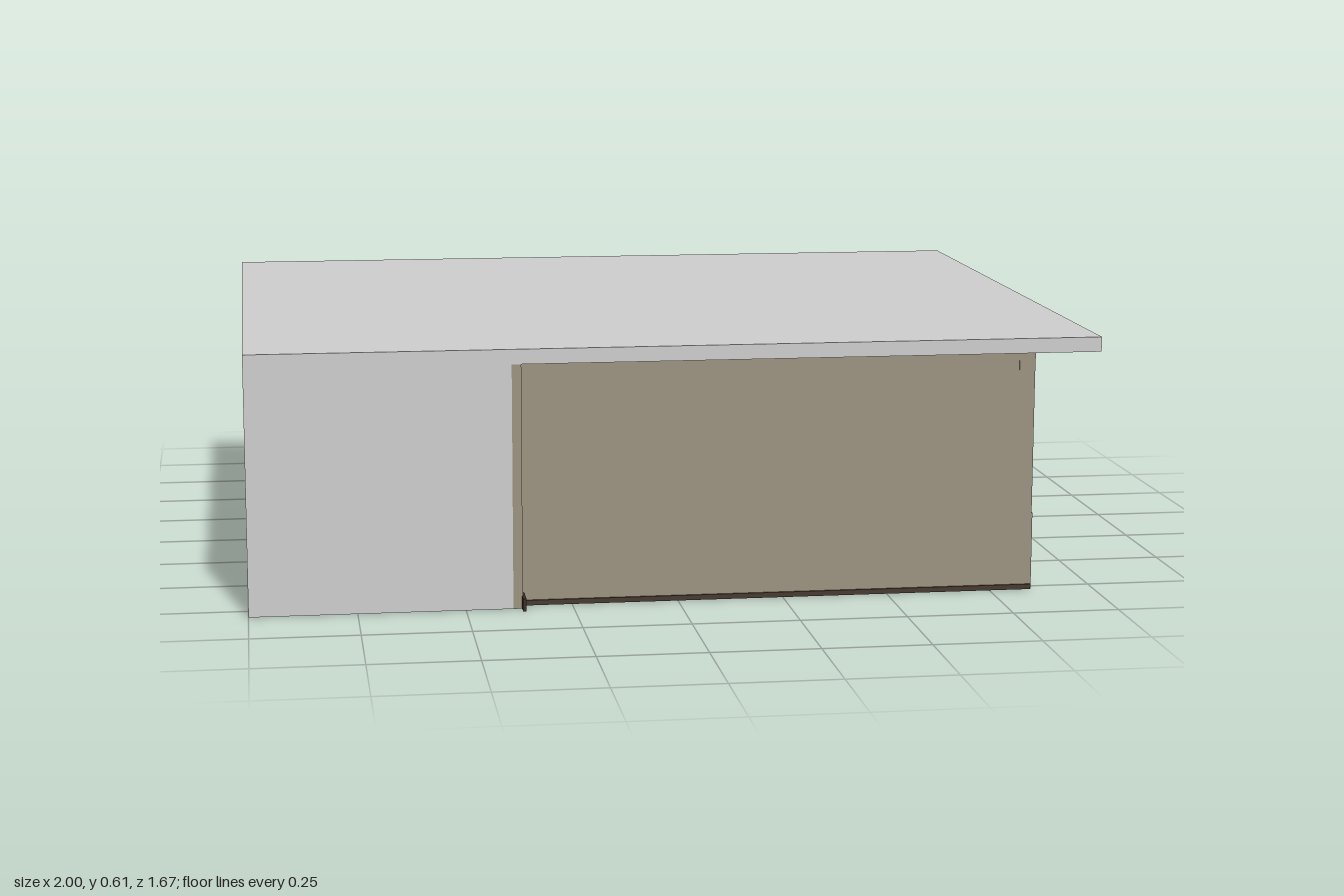
import * as THREE from 'three';

export function createModel() {
  const model = new THREE.Group();
  const mat = (name, color) => {
    const m = new THREE.MeshStandardMaterial({ color });
    m.name = name;
    return m;
  };
  const grey = mat('concrete grey', 0xcccccc);
  const tan = mat('wall tan', 0x9b917e);
  const brown = mat('floor brown', 0x47392f);
  const frameGrey = mat('frame grey', 0x85878a);
  const blindGrey = mat('blind dark grey', 0x606163);
  const white = mat('white', 0xe8e8e8);
  const wood = mat('dark wood', 0x3a2c22);

  // box given by its limits on each axis
  const box = (name, m, x0, x1, y0, y1, z0, z1, parent = model) => {
    const mesh = new THREE.Mesh(new THREE.BoxGeometry(x1 - x0, y1 - y0, z1 - z0), m);
    mesh.position.set((x0 + x1) / 2, (y0 + y1) / 2, (z0 + z1) / 2);
    mesh.name = name;
    parent.add(mesh);
    return mesh;
  };
  const group = (name) => {
    const g = new THREE.Group();
    g.name = name;
    model.add(g);
    return g;
  };

  // roof and floor
  box('roof', grey, -1, 1, 0.575, 0.61, -0.835, 0.808);
  box('classroomFloor', brown, -0.37, 0.85, 0, 0.012, -0.835, 0.78);
  box('corridorFloor', brown, -0.965, -0.37, 0, 0.012, -0.833, 0.775);

  // corridor side wall with two doorways, extruded along x
  const side = new THREE.Shape();
  [[-0.808, 0], [-0.28, 0], [-0.28, 0.52], [-0.06, 0.52], [-0.06, 0], [0.17, 0], [0.17, 0.52],
    [0.37, 0.52], [0.37, 0], [0.835, 0], [0.835, 0.575], [-0.808, 0.575]]
    .forEach(([u, v], i) => (i ? side.lineTo(u, v) : side.moveTo(u, v)));
  const sideWall = new THREE.Mesh(new THREE.ExtrudeGeometry(side, { depth: 0.035, bevelEnabled: false }), grey);
  sideWall.rotation.y = Math.PI / 2;
  sideWall.position.x = -1;
  sideWall.name = 'corridorSideWall';
  model.add(sideWall);

  // end walls
  box('corridorFrontWall', grey, -0.965, -0.39, 0, 0.575, 0.773, 0.808);
  box('corridorBackWall', tan, -0.965, -0.4, 0.012, 0.575, -0.83, -0.8);
  box('partitionWall', tan, -0.39, -0.368, 0, 0.575, -0.8, 0.808);
  box('doorStep', wood, -0.37, -0.362, 0, 0.03, 0.775, 0.835);
  box('frontWall', tan, -0.368, 0.85, 0.005, 0.575, 0.745, 0.775);
  box('backWall', tan, -0.4, 0.812, 0.012, 0.575, -0.815, -0.785);
  for (const x of [-0.4, -0.1]) box('backColumn', tan, x, x + 0.035, 0.012, 0.575, -0.832, -0.81);

  // thin conduits on the back wall
  for (const y of [0.445, 0.495]) box('backConduit', wood, -0.06, 0.69, y, y + 0.006, -0.819, -0.814);
  box('backConduit', wood, 0.487, 0.493, 0.17, 0.43, -0.818, -0.814);

  // window wall: sill, beam and posts
  box('sillWall', tan, 0.812, 0.852, 0, 0.185, -0.835, 0.775);
  box('windowBeam', tan, 0.812, 0.85, 0.527, 0.575, -0.832, 0.777);
  for (const [a, b] of [[0.735, 0.775], [0.345, 0.385], [-0.04, 0], [-0.43, -0.39], [-0.815, -0.78]])
    box('windowPost', tan, 0.812, 0.85, 0.185, 0.527, a, b);

  // four windows, each with two barred sashes
  const windows = group('windows');
  const w = 0.35, y0 = 0.185, y1 = 0.527, t = 0.009;
  for (const z of [0.385, -0.003, -0.39, -0.78]) {
    box('windowSill', frameGrey, 0.822, 0.856, y0, y0 + t, z, z + w, windows);
    box('windowHead', frameGrey, 0.822, 0.845, y1 - t, y1, z, z + w, windows);
    for (const k of [0, 0.5, 1]) {
      const c = z + t / 2 + k * (w - t);
      box('windowStile', frameGrey, 0.822, 0.845, y0, y1, c - t / 2, c + t / 2, windows);
    }
    for (const k of [0.25, 0.75]) {
      const c = z + k * w;
      box('windowBar', frameGrey, 0.83, 0.838, y0, y1, c - 0.003, c + 0.003, windows);
    }
    for (const k of [0.34, 0.56, 0.78]) {
      const c = y0 + k * (y1 - y0);
      box('windowRail', frameGrey, 0.83, 0.838, c - 0.003, c + 0.003, z, z + w, windows);
    }
  }

  // slatted blinds: [z start, bottom, slat share of pitch, material]
  const blinds = group('blinds');
  for (const [z, bottom, share, m] of [
    [0.565, 0.27, 0.92, blindGrey], [0.392, 0.305, 0.95, white],
    [0.175, 0.27, 0.55, blindGrey], [0.005, 0.29, 0.4, blindGrey],
    [-0.215, 0.27, 0.92, blindGrey], [-0.605, 0.43, 0.6, blindGrey], [-0.775, 0.36, 0.15, blindGrey]]) {
    const pitch = 0.018;
    for (let y = 0.52; y - pitch > bottom - 0.01; y -= pitch)
      box('blindSlat', m, 0.815, 0.819, y - pitch * share, y, z, z + 0.165, blinds);
  }

  // partition doors and wall boards
  const doorPanel = (z) => {
    box('doorFrame', frameGrey, -0.368, -0.362, 0.012, 0.39, z, z + 0.2);
    box('doorLeaf', tan, -0.362, -0.357, 0.012, 0.38, z + 0.01, z + 0.19);
  };
  doorPanel(-0.63);
  doorPanel(0.5);
  box('wallBoard', white, -0.368, -0.36, 0.25, 0.41, -0.29, -0.23);

  // rows of desks with chairs
  const desks = group('desks');
  for (let i = 0; i < 4; i++) {
    for (let j = 0; j < 5; j++) {
      const x = -0.15 + i * 0.24, z = 0.42 - j * 0.2;
      box('deskTop', wood, x - 0.06, x + 0.06, 0.19, 0.2, z - 0.045, z + 0.045, desks);
      for (const dx of [-0.055, 0.049])
        for (const dz of [-0.04, 0.034])
          box('deskLeg', blindGrey, x + dx, x + dx + 0.006, 0.012, 0.19, z + dz, z + dz + 0.006, desks);
      box('chairSeat', wood, x - 0.04, x + 0.04, 0.11, 0.118, z + 0.055, z + 0.115, desks);
      box('chairBack', wood, x - 0.04, x + 0.04, 0.19, 0.235, z + 0.11, z + 0.116, desks);
      for (const dx of [-0.04, 0.034])
        box('chairPost', blindGrey, x + dx, x + dx + 0.006, 0.012, 0.19, z + 0.11, z + 0.116, desks);
    }
  }

  // stand with a small bust near the back
  box('stand', wood, 0.6, 0.68, 0.012, 0.28, -0.75, -0.68);
  const bust = new THREE.Mesh(new THREE.LatheGeometry(
    [[0, 0], [0.028, 0], [0.024, 0.025], [0.009, 0.035], [0.016, 0.05], [0, 0.068]]
      .map(([r, y]) => new THREE.Vector2(r, y)), 12), wood);
  bust.position.set(0.64, 0.28, -0.715);
  bust.name = 'bust';
  model.add(bust);

  return model;
}
